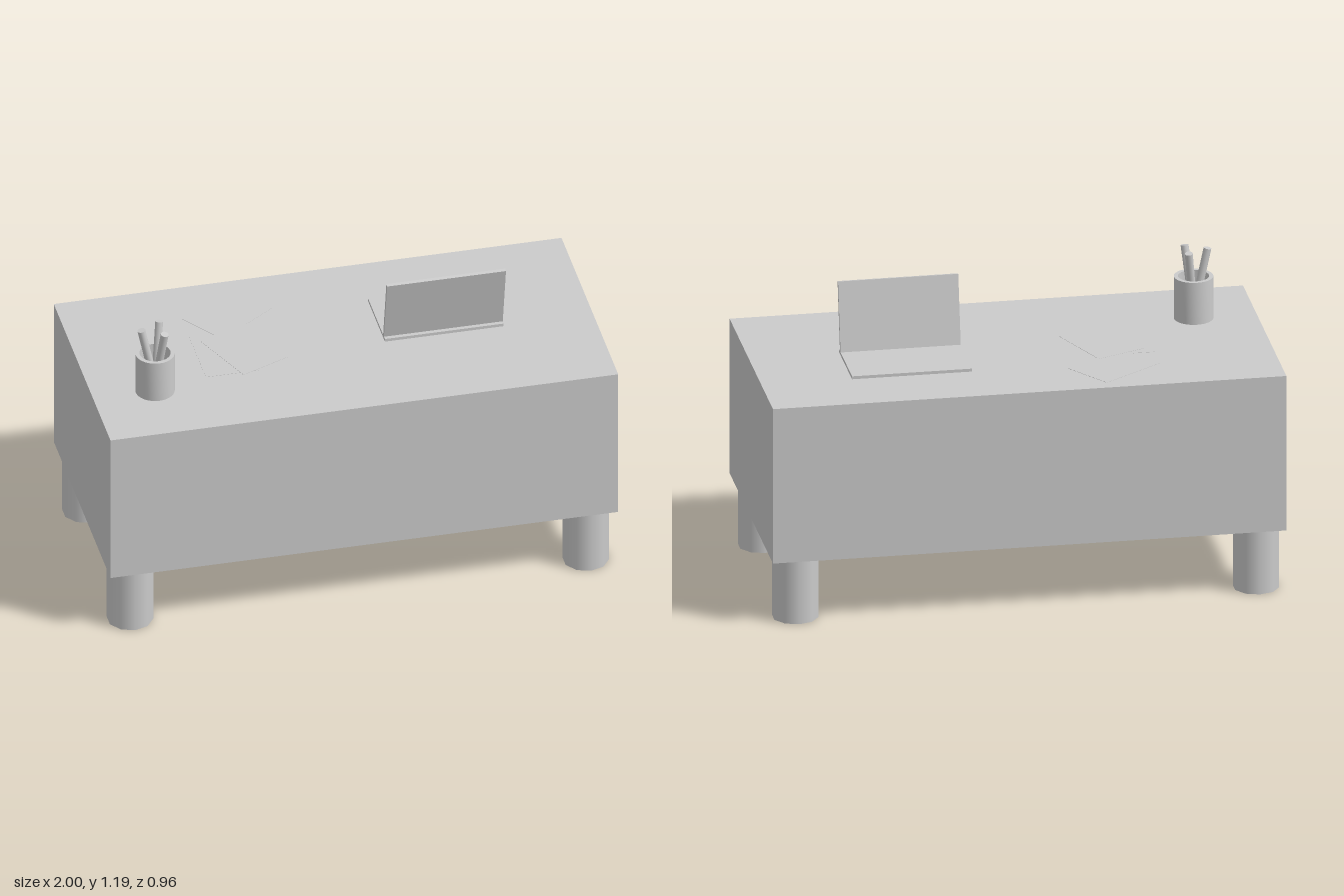
import * as THREE from 'three';
import { toCreasedNormals } from 'three/addons/utils/BufferGeometryUtils.js';

const grey = new THREE.MeshStandardMaterial({ color: 0xcccccc });

function add(parent, name, geometry, x = 0, y = 0, z = 0) {
  const mesh = new THREE.Mesh(geometry, grey);
  mesh.name = name;
  mesh.position.set(x, y, z);
  parent.add(mesh);
  return mesh;
}

function subgroup(parent, name, x, y, z) {
  const group = new THREE.Group();
  group.name = name;
  group.position.set(x, y, z);
  parent.add(group);
  return group;
}

export function createModel() {
  const model = new THREE.Group();
  model.name = 'desk';
  const bottom = 0.263, top = 0.9;

  // Solid desk body
  add(model, 'deskBody', new THREE.BoxGeometry(2, top - bottom, 0.96), 0, (top + bottom) / 2, 0);

  // Four stubby legs
  const legGeometry = new THREE.CylinderGeometry(0.09, 0.09, bottom, 10);
  for (const [side, x] of [['Left', 0.895], ['Right', -0.9]])
    for (const [end, z] of [['front', 0.38], ['back', -0.375]])
      add(model, `${end}${side}Leg`, legGeometry, x, bottom / 2, z);

  // Three overlapping sheets of paper: x, z, turn
  const papers = subgroup(model, 'papers', 0, top, 0);
  const sheetGeometry = new THREE.BoxGeometry(0.207, 0.001, 0.287);
  [[-0.442, -0.002, 0], [-0.367, -0.265, -0.96], [-0.361, -0.012, 0.395]].forEach(([x, z, turn], i) => {
    add(papers, 'paperSheet', sheetGeometry, x, 0.0008 + i * 0.0006, z).rotation.y = turn;
  });

  // Open laptop, screen hinged near the front edge and leaning forward
  const laptop = subgroup(model, 'laptop', 0.413, top, 0);
  add(laptop, 'laptopBase', new THREE.BoxGeometry(0.468, 0.012, 0.284), 0, 0.006, -0.083);
  const screenGeometry = new THREE.BoxGeometry(0.468, 0.278, 0.014).translate(0, 0.139, 0);
  add(laptop, 'laptopScreen', screenGeometry, 0, 0.009, 0.035).rotation.x = 0.2;

  // Hollow pen cup
  const cup = subgroup(model, 'penHolder', -0.755, top, 0.182);
  const profile = [[0, 0], [0.076, 0], [0.076, 0.173], [0.06, 0.173], [0.06, 0.012], [0, 0.012]]
    .map(([r, y]) => new THREE.Vector2(r, y));
  add(cup, 'penCup', toCreasedNormals(new THREE.LatheGeometry(profile, 32), 0.6));

  // Three pens splayed outward from the middle of the cup
  const penGeometry = new THREE.CylinderGeometry(0.0155, 0.0155, 0.26, 12).translate(0, 0.13, 0);
  for (let i = 0; i < 3; i++) {
    const spread = subgroup(cup, 'penDirection', 0, 0.03, 0);
    spread.rotation.y = Math.PI + (i * 2 * Math.PI) / 3;
    add(spread, 'pen', penGeometry).rotation.z = -0.21;
  }
  return model;
}
